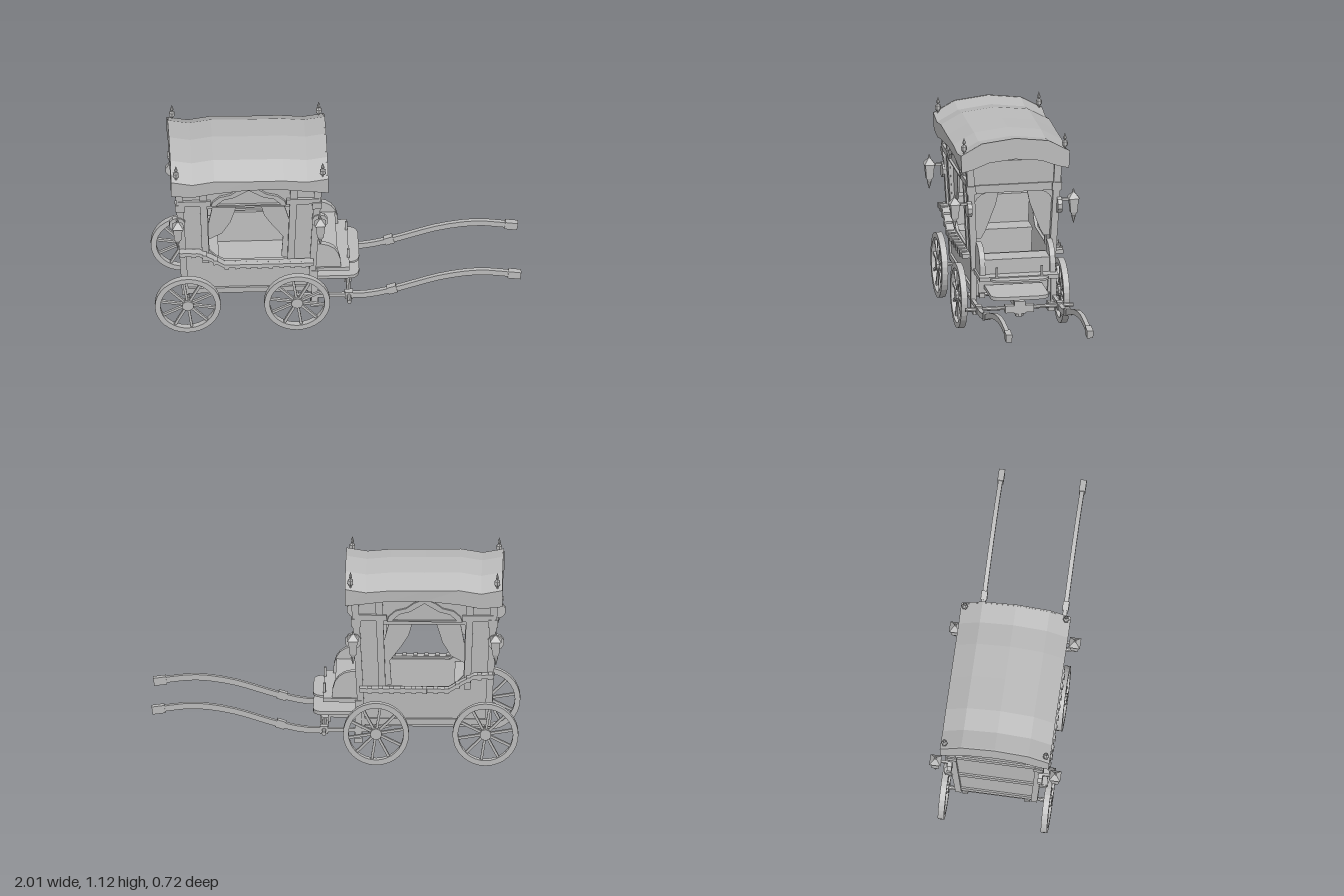
import * as THREE from 'three';

const grey = new THREE.MeshStandardMaterial({ color: 0xbababa, flatShading: true, side: THREE.DoubleSide });
grey.name = 'plain grey';

const CX = -0.49; // middle of the cabin along x

export function createModel() {
  const model = new THREE.Group();
  model.name = 'carriage';

  const add = (name, geo, parent = model) => {
    const m = new THREE.Mesh(geo, grey);
    m.name = name;
    parent.add(m);
    return m;
  };
  const boxGeo = (x0, x1, y0, y1, z0, z1) =>
    new THREE.BoxGeometry(x1 - x0, y1 - y0, z1 - z0).translate((x0 + x1) / 2, (y0 + y1) / 2, (z0 + z1) / 2);
  const box = (name, ...r) => add(name, boxGeo(...r));
  // the cabin widens towards the top: x is measured from its middle
  const taper = (geo) => {
    const p = geo.attributes.position;
    for (let i = 0; i < p.count; i++) {
      const k = (p.getY(i) - 0.21) / 0.74;
      p.setX(i, CX + p.getX(i) * (0.9 + 0.1 * k));
      p.setZ(i, p.getZ(i) * (0.85 + 0.15 * k));
    }
    geo.computeVertexNormals();
    return geo;
  };
  const cabinBox = (name, ...r) => add(name, taper(boxGeo(...r)));
  const shapeOf = (pts) => new THREE.Shape(pts.map((p) => new THREE.Vector2(...p)));
  const extrude = (shape, depth) => new THREE.ExtrudeGeometry(shape, { depth, bevelEnabled: false, curveSegments: 5 });
  const rect = (x, y0, y1) => shapeOf([[-x, y0], [x, y0], [x, y1], [-x, y1]]);
  const ends = [-1, 1];

  // floor, rear wall and its rails
  cabinBox('floor', -0.385, 0.385, 0.21, 0.24, -0.25, 0.25);
  cabinBox('rearWall', -0.385, -0.365, 0.21, 0.97, -0.25, 0.25);
  for (const y of [0.24, 0.5, 0.81]) cabinBox('rearRail', -0.395, -0.38, y - 0.02, y + 0.02, -0.25, 0.25);

  // front wall with an arched opening
  const front = rect(0.25, 0.21, 0.97);
  const arch = new THREE.Path();
  arch.moveTo(-0.24, 0.36);
  arch.lineTo(0.24, 0.36);
  arch.lineTo(0.235, 0.7);
  arch.quadraticCurveTo(0.22, 0.79, 0.12, 0.793);
  arch.lineTo(-0.12, 0.793);
  arch.quadraticCurveTo(-0.22, 0.79, -0.235, 0.7);
  front.holes.push(arch);
  add('frontWall', taper(extrude(front, 0.02).rotateY(Math.PI / 2).translate(0.365, 0, 0)));
  cabinBox('frontBeam', 0.375, 0.395, 0.79, 0.835, -0.26, 0.26);

  for (const s of ends) {
    // side wall with a window and a stepped sill
    const wall = rect(0.385, 0.21, 0.97);
    wall.holes.push(shapeOf([[-0.226, 0.5], [-0.19, 0.46], [-0.14, 0.43], [0.23, 0.43], [0.23, 0.8], [-0.226, 0.8]]));
    add('sideWall', taper(extrude(wall, 0.018).translate(0, 0, s > 0 ? 0.235 : -0.253)));
    cabinBox('sideSill', -0.39, 0.39, 0.21, 0.245, s * 0.256 - 0.012, s * 0.256 + 0.012);

    // corner posts with capitals, pilasters beside the window
    for (const e of ends) {
      cabinBox('cornerPost', e * 0.382 - 0.02, e * 0.382 + 0.02, 0.2, 0.97, s * 0.245 - 0.02, s * 0.245 + 0.02);
      cabinBox('capital', e * 0.382 - 0.027, e * 0.382 + 0.027, 0.79, 0.835, s * 0.245 - 0.027, s * 0.245 + 0.027);
      cabinBox('pilaster', e * 0.25 - 0.02, e * 0.25 + 0.02, 0.42, 0.97, s * 0.25 - 0.014, s * 0.25 + 0.014);
      const u = e * 0.3;
      cabinBox('sideCornice', u - 0.09, u + 0.09, 0.825, 0.86, s * 0.258 - 0.012, s * 0.258 + 0.012);
    }

    // pointed ornamental arch over the window
    const half = [[0.21, 0.82], [0.2, 0.85], [0.16, 0.885], [0.1, 0.9], [0.06, 0.93], [0, 0.955]];
    const ogee = shapeOf([...half, ...half.slice(0, -1).reverse().map(([x, y]) => [-x, y])]);
    ogee.holes.push(shapeOf([[0.18, 0.828], [0.14, 0.865], [0.08, 0.88], [0, 0.93], [-0.08, 0.88], [-0.14, 0.865], [-0.18, 0.828]]));
    add('windowArch', taper(extrude(ogee, 0.016).translate(0, 0, s > 0 ? 0.252 : -0.268)));

    // gathered window curtains
    const curtains = [
      [[-0.2, 0.8], [-0.065, 0.8], [-0.1, 0.69], [-0.15, 0.61], [-0.226, 0.57], [-0.226, 0.68]],
      [[0.07, 0.8], [0.2, 0.8], [0.23, 0.7], [0.23, 0.43], [0.195, 0.44], [0.2, 0.58], [0.13, 0.67], [0.09, 0.73]],
    ];
    for (const c of curtains) add('sideCurtain', taper(extrude(shapeOf(c), 0.012).translate(0, 0, s * 0.232 - 0.006)));
    // curtains in the front opening
    const fc = [[0.23, 0.78], [0.08, 0.793], [0.1, 0.71], [0.165, 0.56], [0.19, 0.52], [0.23, 0.52]].map(([z, y]) => [-s * z, y]);
    add('frontCurtain', taper(extrude(shapeOf(fc), 0.012).rotateY(Math.PI / 2).translate(0.35, 0, 0)));

    // stepped side rail with studs
    const rail = [[-0.87, 0.522], [-0.76, 0.518], [-0.69, 0.48], [-0.62, 0.437], [-0.135, 0.437]];
    const strip = shapeOf([...rail, ...rail.map(([x, y]) => [x, y - 0.022]).reverse()]);
    add('sideRail', extrude(strip, 0.045).translate(0, 0, s > 0 ? 0.235 : -0.28));
    for (let x = -0.85; x < -0.14; x += 0.06) {
      const i = Math.max(1, rail.findIndex((p) => p[0] >= x));
      const [a, b] = [rail[i - 1], rail[i]];
      const y = a[1] + ((b[1] - a[1]) * (x - a[0])) / (b[0] - a[0]);
      box('railStud', x - 0.012, x + 0.012, y - 0.026, y + 0.004, s * 0.265 - 0.021, s * 0.265 + 0.021);
    }

    // lanterns on wall brackets
    for (const x of [-0.88, -0.1]) {
      const lamp = new THREE.Group();
      lamp.name = 'lantern';
      lamp.position.set(x, 0, s * 0.33);
      const ring = (name, rt, rb, y0, y1, n = 4) =>
        add(name, new THREE.CylinderGeometry(rt, rb, y1 - y0, n).rotateY(Math.PI / 4).translate(0, (y0 + y1) / 2, 0), lamp);
      ring('lanternBody', 0.036, 0.026, 0.66, 0.74);
      ring('lanternRoof', 0.01, 0.044, 0.74, 0.772);
      ring('lanternTip', 0.003, 0.008, 0.772, 0.792, 6);
      ring('lanternBase', 0.022, 0.012, 0.64, 0.66);
      ring('lanternDrop', 0.013, 0.002, 0.6, 0.64, 6);
      add('lanternArm', new THREE.BoxGeometry(0.014, 0.014, 0.08).translate(0, 0.735, -s * 0.05), lamp);
      add('lanternPlate', new THREE.CylinderGeometry(0.045, 0.045, 0.025, 10).rotateX(Math.PI / 2).translate(0, 0.705, -s * 0.08), lamp);
      model.add(lamp);
    }

    // roof finials
    for (const x of [-0.888, -0.085]) {
      const prof = [[0.004, 1.0], [0.006, 1.035], [0.017, 1.05], [0.017, 1.068], [0.005, 1.078], [0.01, 1.088], [0, 1.118]];
      add('finial', new THREE.LatheGeometry(prof.map((p) => new THREE.Vector2(...p)), 6)).position.set(x, 0, s * 0.28);
    }

    // wheels
    for (const x of [-0.823, -0.225]) {
      const wheel = new THREE.Group();
      wheel.name = 'wheel';
      wheel.position.set(x, 0.18, s * 0.284);
      const rim = new THREE.Shape().absarc(0, 0, 0.18, 0, Math.PI * 2);
      rim.holes.push(new THREE.Path().absarc(0, 0, 0.15, 0, Math.PI * 2));
      add('rim', new THREE.ExtrudeGeometry(rim, { depth: 0.034, bevelEnabled: false, curveSegments: 16 }).translate(0, 0, -0.017), wheel);
      add('hub', new THREE.CylinderGeometry(0.032, 0.032, 0.04, 10).rotateX(Math.PI / 2), wheel);
      for (let i = 0; i < 10; i++)
        add('spoke', new THREE.BoxGeometry(0.014, 0.135, 0.016).translate(0, 0.09, 0).rotateZ((i * Math.PI) / 5 + 0.15), wheel);
      model.add(wheel);
    }

    // pulling shafts with collars
    const curve = new THREE.CatmullRomCurve3([[0.04, 0.18], [0.15, 0.178], [0.28, 0.203], [0.42, 0.245], [0.545, 0.283], [0.7, 0.31], [0.82, 0.312], [0.99, 0.287]]
      .map(([x, y]) => new THREE.Vector3(x, y, 0))).getPoints(14);
    const shaft = shapeOf([...curve.map((p) => [p.x, p.y - 0.016]), ...curve.reverse().map((p) => [p.x, p.y + 0.016])]);
    add('shaft', extrude(shaft, 0.024).translate(0, 0, s * 0.225 - 0.012));
    for (const [x, y, w, a] of [[0.297, 0.21, 0.05, 0.3], [0.965, 0.291, 0.07, -0.14], [0.06, 0.18, 0.045, 0]])
      add('shaftCollar', new THREE.BoxGeometry(w, 0.044, 0.034).rotateZ(a)).position.set(x, y, s * 0.225);

    // undercarriage links and hangers
    box('shaftLink', -0.22, 0.05, 0.168, 0.188, s * 0.225 - 0.01, s * 0.225 + 0.01);
    box('hanger', -0.145, -0.11, 0.13, 0.35, s * 0.222 - 0.015, s * 0.222 + 0.015);
    box('hangerFoot', -0.15, -0.105, 0.1, 0.15, s * 0.208 - 0.018, s * 0.208 + 0.018);
    box('chassisBeam', -0.85, -0.13, 0.185, 0.212, s * 0.17 - 0.015, s * 0.17 + 0.015);

    // rounded arms of the driving seat and pins on the board
    const arm = new THREE.Shape();
    arm.moveTo(-0.12, 0.355);
    arm.lineTo(0.018, 0.355);
    arm.quadraticCurveTo(0.02, 0.5, -0.09, 0.512);
    arm.lineTo(-0.12, 0.512);
    add('seatArm', extrude(arm, 0.03).translate(0, 0, s * 0.195 - 0.015));
    box('boardPin', 0.053, 0.067, 0.355, 0.412, s * 0.125 - 0.006, s * 0.125 + 0.006);
  }

  // axles, pole bar and turning hub
  for (const x of [-0.823, -0.225, 0.06])
    add('axle', new THREE.CylinderGeometry(0.012, 0.012, 0.6, 8).rotateX(Math.PI / 2)).position.set(x, 0.18, 0);
  box('barBlock', 0.04, 0.08, 0.155, 0.195, -0.08, 0.08);
  box('turningBeam', -0.26, 0.06, 0.175, 0.205, -0.025, 0.025);
  box('turningHub', 0.03, 0.085, 0.15, 0.22, -0.03, 0.03);
  add('hubPin', new THREE.CylinderGeometry(0.024, 0.024, 0.03, 10)).position.set(0.06, 0.148, 0);
  add('turningRing', new THREE.TorusGeometry(0.1, 0.01, 4, 14).rotateX(Math.PI / 2)).position.set(-0.225, 0.2, 0);

  // driving seat, seat board and rounded footboard
  box('seatCushion', -0.125, 0.0, 0.355, 0.44, -0.185, 0.185);
  box('seatBoard', -0.13, 0.065, 0.335, 0.358, -0.22, 0.22);
  const lip = new THREE.Shape();
  lip.moveTo(-0.16, -0.13);
  lip.lineTo(0.16, -0.13);
  lip.lineTo(0.16, 0.08);
  lip.quadraticCurveTo(0.15, 0.118, 0.1, 0.122);
  lip.lineTo(-0.1, 0.122);
  lip.quadraticCurveTo(-0.15, 0.118, -0.16, 0.08);
  const boardGeo = (h) => extrude(lip, h).rotateX(Math.PI / 2).rotateY(Math.PI / 2);
  add('footboard', boardGeo(0.02)).position.y = 0.258;
  add('boardLip', boardGeo(0.012)).position.y = 0.352;

  // benches inside
  cabinBox('rearBench', -0.365, -0.17, 0.24, 0.42, -0.225, 0.225);
  cabinBox('benchBack', -0.365, -0.3, 0.42, 0.58, -0.225, 0.225);
  cabinBox('frontBench', 0.24, 0.365, 0.24, 0.4, -0.225, 0.225);

  // draped roof lofted from cross-sections, with sagging skirts
  const sections = [[-0.915, 0, 0], [-0.8, -0.022, -0.012], [-0.68, -0.002, 0.01], [-0.49, -0.006, 0.03], [-0.3, -0.006, 0.028], [-0.17, -0.018, 0.012], [-0.055, 0, 0]];
  const profile = [[-0.298, 0.925], [-0.302, 1.022], [-0.185, 1.086], [0, 1.108], [0.185, 1.086], [0.302, 1.022], [0.298, 0.925]];
  const pos = [], idx = [], n = profile.length;
  sections.forEach(([x, top, hem], i) => profile.forEach(([z, y], j) => {
    pos.push(x, y + (j === 0 || j === n - 1 ? hem : top), z);
    if (i && j) {
      const d = i * n + j, c = d - 1, b = d - n, a = b - 1;
      idx.push(a, c, b, b, c, d);
    }
  }));
  const roof = new THREE.BufferGeometry();
  roof.setAttribute('position', new THREE.Float32BufferAttribute(pos, 3));
  roof.setIndex(idx);
  roof.computeVertexNormals();
  add('roofCanopy', roof);

  // arched valances closing both ends of the roof
  const under = [[0.235, 0.94], [0.145, 0.975], [0, 0.99], [-0.145, 0.975], [-0.235, 0.94]];
  for (const x of [-0.915, -0.063])
    add('roofValance', extrude(shapeOf([...profile, ...under]), 0.008).rotateY(Math.PI / 2).translate(x, 0, 0));

  return model;
}
